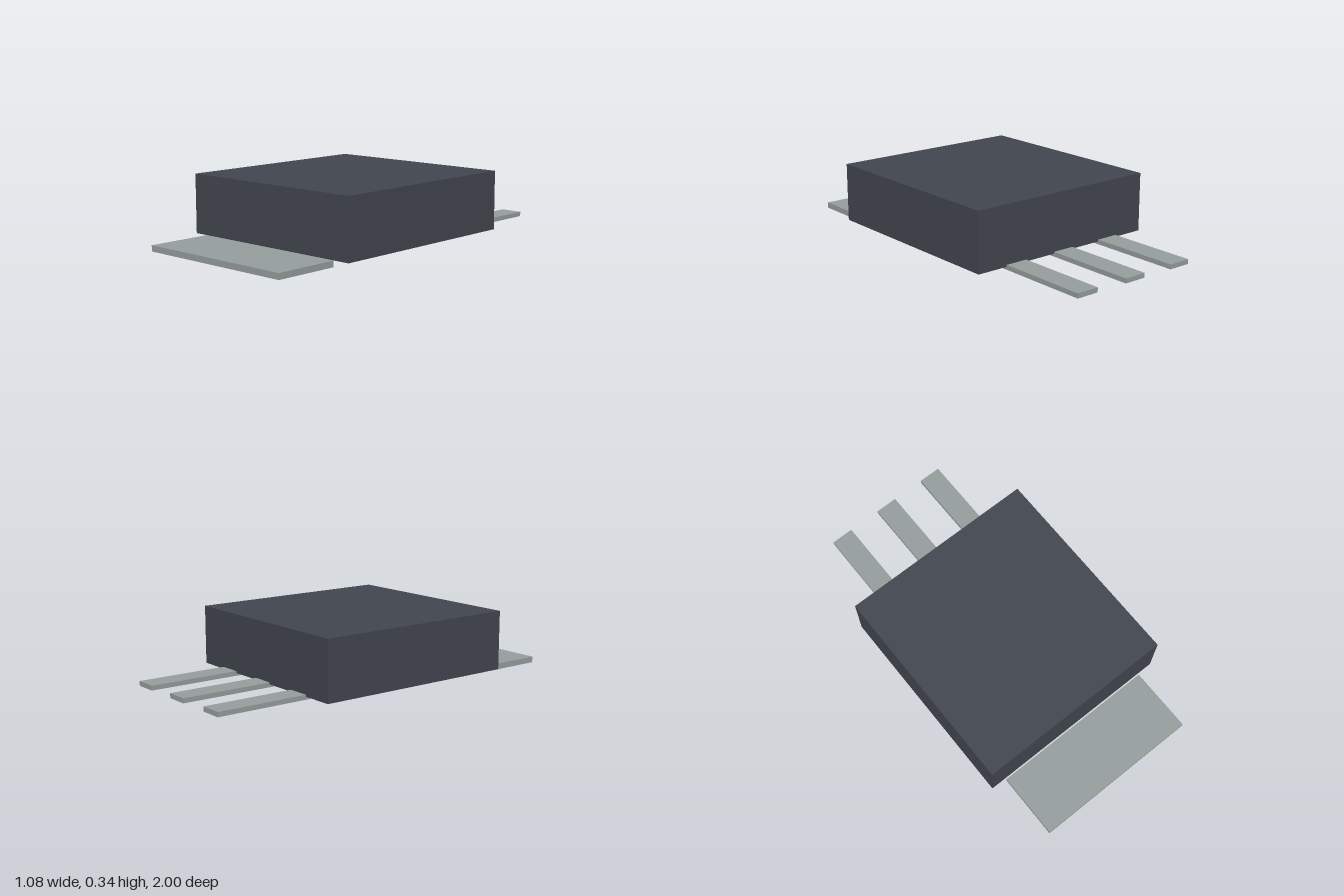
import * as THREE from 'three';

export function createModel() {
  const group = new THREE.Group();
  group.name = 'powerComponent';

  const casing = new THREE.MeshStandardMaterial({ color: 0x41454e });
  casing.name = 'darkCasing';
  const metal = new THREE.MeshStandardMaterial({ color: 0x959d9d });
  metal.name = 'greyMetal';

  // Box given by its lower and upper corners
  function box(name, material, [x0, y0, z0], [x1, y1, z1]) {
    const mesh = new THREE.Mesh(new THREE.BoxGeometry(x1 - x0, y1 - y0, z1 - z0), material);
    mesh.position.set((x0 + x1) / 2, (y0 + y1) / 2, (z0 + z1) / 2);
    mesh.name = name;
    group.add(mesh);
  }

  // Moulded body
  box('body', casing, [-0.542, 0.03, -0.5], [0.542, 0.345, 0.64]);

  // Mounting tab at the front, just clear of the body
  box('mountingTab', metal, [-0.455, 0, 0.648], [0.455, 0.032, 1]);

  // Three leads, tucked slightly under the back of the body
  ['rightLead', 'middleLead', 'leftLead'].forEach((name, i) => {
    const x = (i - 1) * 0.307;
    box(name, metal, [x - 0.062, 0.015, -1], [x + 0.062, 0.04, -0.47]);
  });

  return group;
}
